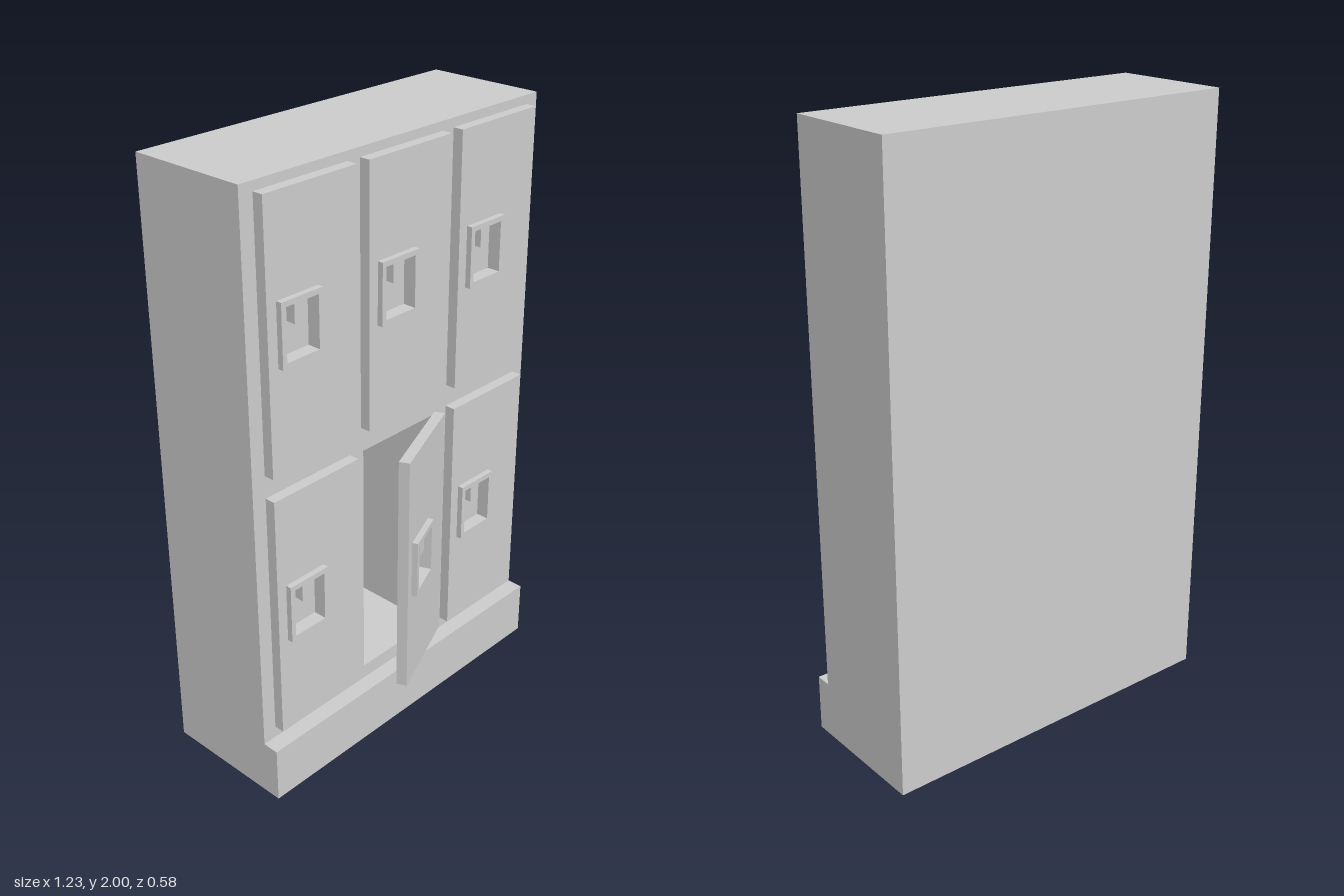
import * as THREE from 'three';

const mat = new THREE.MeshStandardMaterial({ color: 0xcccccc, flatShading: true });

function add(parent, name, geometry, x = 0, y = 0, z = 0) {
  const mesh = new THREE.Mesh(geometry, mat);
  mesh.name = name;
  mesh.position.set(x, y, z);
  parent.add(mesh);
  return mesh;
}

// Rectangle given by its edges, as a list of corner points
const rect = (x0, x1, y0, y1) =>
  [[x0, y0], [x1, y0], [x1, y1], [x0, y1]].map(([x, y]) => new THREE.Vector2(x, y));

// Rectangular plate with one rectangular opening, extruded toward +z
function plateWithHole(outer, hole, depth) {
  const shape = new THREE.Shape(rect(...outer));
  shape.holes.push(new THREE.Path(rect(...hole).reverse()));
  return new THREE.ExtrudeGeometry(shape, { depth, bevelEnabled: false });
}

const DOOR_W = 0.345, DOOR_H = 0.833, DOOR_T = 0.035;
const LOCK_X = -0.232, LOCK_Y = 0.433;

// Door whose origin is the bottom of its hinge edge, at the back face
function makeDoor(name) {
  const door = new THREE.Group();
  door.name = name;
  const recess = [LOCK_X - 0.062, LOCK_X + 0.062, LOCK_Y - 0.082, LOCK_Y + 0.082];
  add(door, 'doorPanel', plateWithHole([-DOOR_W, 0, 0, DOOR_H], recess, DOOR_T));
  add(door, 'recessFloor', new THREE.BoxGeometry(0.124, 0.164, 0.01), LOCK_X, LOCK_Y, 0.005);
  const rim = [LOCK_X - 0.078, LOCK_X + 0.078, LOCK_Y - 0.099, LOCK_Y + 0.099];
  add(door, 'handleFrame', plateWithHole(rim, recess, 0.019), 0, 0, DOOR_T);
  add(door, 'latch', new THREE.BoxGeometry(0.038, 0.066, 0.032), LOCK_X, LOCK_Y + 0.049, 0.026);
  return door;
}

export function createModel() {
  const model = new THREE.Group();
  model.name = 'lockers';

  // Cabinet with the open compartment cut through its front
  const cabinet = new THREE.Group();
  cabinet.name = 'cabinet';
  model.add(cabinet);
  add(cabinet, 'cabinetBody',
    plateWithHole([-0.615, 0.615, 0, 2], [-0.163, 0.163, 0.24, 1.055], 0.387), 0, 0, -0.27);
  add(cabinet, 'backPanel', new THREE.BoxGeometry(1.23, 2, 0.02), 0, 1, -0.28);
  add(cabinet, 'plinth', new THREE.BoxGeometry(1.23, 0.19, 0.055), 0, 0.095, 0.1445);

  // Two rows of three doors, the lower middle one ajar
  ['lower', 'upper'].forEach((row, j) => {
    ['Right', 'Middle', 'Left'].forEach((column, i) => {
      const door = makeDoor(`${row}${column}Door`);
      door.position.set((i - 1) * 0.394 + DOOR_W / 2, 0.231 + j * 0.907, 0.117);
      if (j === 0 && i === 1) {
        door.position.x = 0.167;
        door.rotation.y = 0.4;
      }
      model.add(door);
    });
  });

  return model;
}
